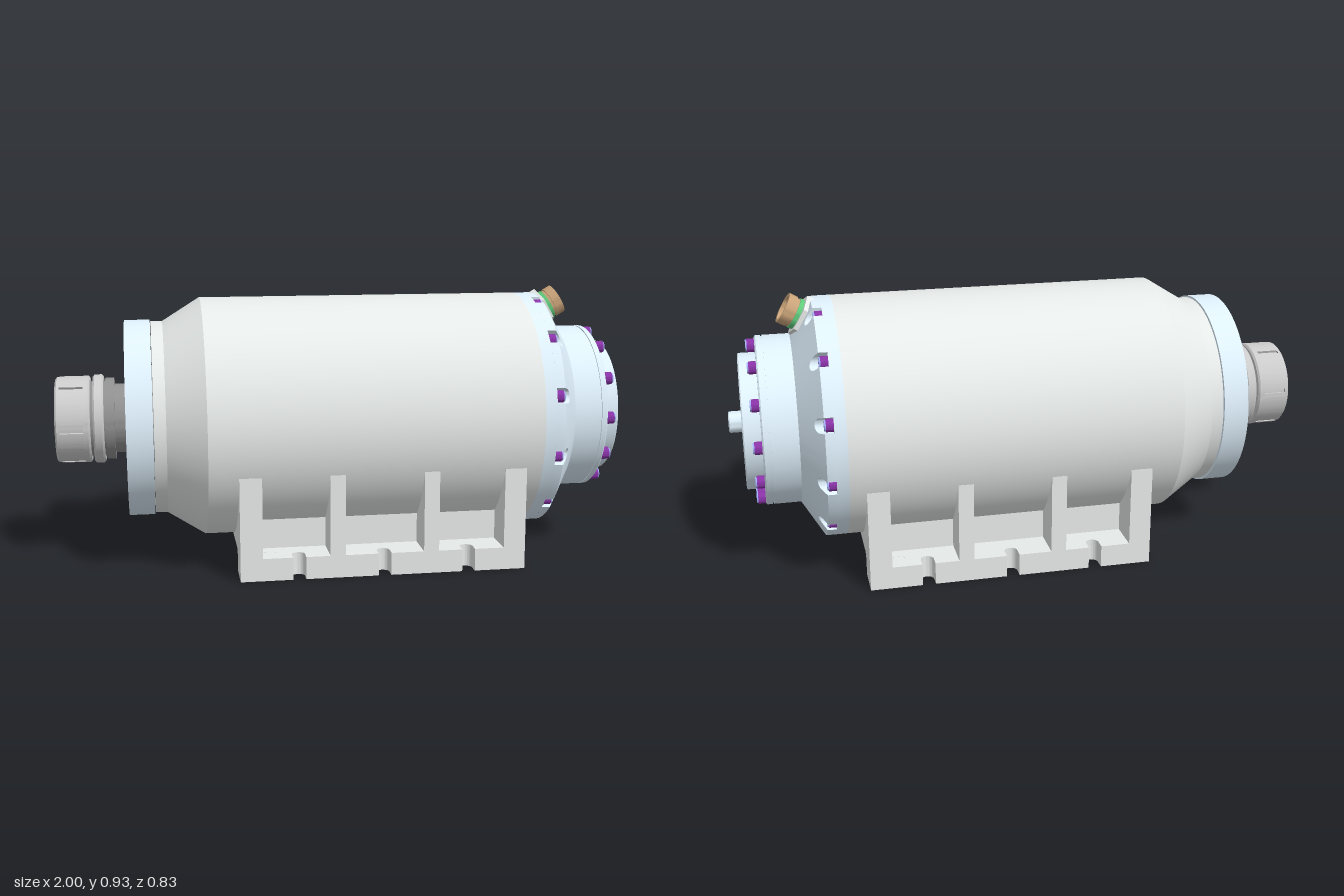
import * as THREE from 'three';
import { toCreasedNormals } from 'three/addons/utils/BufferGeometryUtils.js';

const mat = (color, side = THREE.FrontSide) => new THREE.MeshStandardMaterial({ color, side });
const GREY = mat(0xe6eae8), BLUE = mat(0xdff0fc), DARK = mat(0x909090), VIOLET = mat(0xa2aef5),
  PURPLE = mat(0x8a34a8), TAN = mat(0xcaa47a), GREEN = mat(0x60cc7c), SILVER = mat(0xfafafa);

function add(parent, name, geometry, material, x = 0, y = 0, z = 0) {
  const m = new THREE.Mesh(geometry, material);
  m.name = name;
  m.position.set(x, y, z);
  parent.add(m);
  return m;
}

// Solid of revolution about x, from [x, radius] pairs
function turned(points, sides = 96) {
  const g = new THREE.LatheGeometry(points.map(([x, r]) => new THREE.Vector2(r, x)), sides);
  return toCreasedNormals(g.rotateZ(-Math.PI / 2), 0.4);
}

// Shape in (-z, y) extruded along x from x0 to x1
function alongX(shape, x0, x1, curveSegments = 24) {
  const g = new THREE.ExtrudeGeometry(shape, { depth: x1 - x0, bevelEnabled: false, curveSegments });
  return toCreasedNormals(g.rotateY(Math.PI / 2).translate(x0, 0, 0), 0.4);
}

function disc(r, x = 0, y = 0, Type = THREE.Shape) {
  const s = new Type();
  s.absarc(x, y, r, 0, Math.PI * 2, Type === THREE.Path);
  return s;
}

// Socket screw geometry, head towards +x, seat at x = 0
const hexHole = new THREE.Path();
for (let i = 0; i < 6; i++) {
  const a = -i * Math.PI / 3 + Math.PI / 6;
  hexHole[i ? 'lineTo' : 'moveTo'](0.0105 * Math.cos(a), 0.0105 * Math.sin(a));
}
hexHole.closePath();
const headShape = disc(0.0185);
headShape.holes.push(hexHole);
const headGeo = alongX(headShape, 0.012, 0.03, 10);
const socketFloorGeo = new THREE.CircleGeometry(0.012, 12).rotateY(Math.PI / 2);
const collarGeo = turned([[0, 0], [0, 0.0215], [0.025, 0.0215], [0.025, 0.018]], 20);

function boltCircle(parent, name, count, radius, x, offset = 0, dir = 1) {
  const g = new THREE.Group();
  g.name = name;
  for (let i = 0; i < count; i++) {
    const a = offset + i * 2 * Math.PI / count;
    const bolt = new THREE.Group();
    bolt.name = 'bolt';
    bolt.position.set(x, radius * Math.cos(a), radius * Math.sin(a));
    if (dir < 0) bolt.rotation.y = Math.PI;
    add(bolt, 'boltHead', headGeo, VIOLET);
    add(bolt, 'socketFloor', socketFloorGeo, VIOLET, 0.016);
    add(bolt, 'boltCollar', collarGeo, PURPLE);
    g.add(bolt);
  }
  parent.add(g);
}

// Conical end cover with open bolt pockets around its rim
function pocketCone() {
  const x0 = 0.67, R = 0.416, rIn = 0.285, rb = 0.394, rp = 0.0245;
  const coneX = r => 0.70 + (R - r) * 0.61;
  const half = Math.asin(rp / rb), ring = [];
  for (let k = 0; k < 12; k++) {
    const c = Math.PI / 12 + k * Math.PI / 6;
    ring.push([c - half, R]);
    for (let j = 0; j <= 10; j++) {
      const d = half * Math.sin((j / 5 - 1) * Math.PI / 2);
      ring.push([c + d, rb * Math.cos(d) - Math.sqrt(Math.max(0, rp * rp - (rb * Math.sin(d)) ** 2))]);
    }
    for (let j = 0; j < 7; j++) ring.push([c + half + (Math.PI / 6 - 2 * half) * j / 7, R]);
  }
  const section = ([a, r]) => [[x0, r], [coneX(r), r], [coneX(rIn), rIn]]
    .map(([x, q]) => [x, q * Math.cos(a), q * Math.sin(a)]);
  const pos = [];
  ring.forEach((p, i) => {
    const A = section(p), B = section(ring[(i + 1) % ring.length]);
    for (let j = 0; j < 2; j++) pos.push(...A[j], ...B[j + 1], ...A[j + 1], ...A[j], ...B[j], ...B[j + 1]);
  });
  const g = new THREE.BufferGeometry();
  g.setAttribute('position', new THREE.Float32BufferAttribute(pos, 3));
  g.computeVertexNormals();
  return toCreasedNormals(g, 0.4);
}

// One foot on the +z side: slotted sole, ribs
function foot() {
  const g = new THREE.Group(), L = 0.4875;
  g.name = 'foot';
  const s = new THREE.Shape();
  s.moveTo(-L, -0.27);
  s.lineTo(-L, -0.392);
  for (const c of [-0.29, 0, 0.29]) {
    s.lineTo(c - 0.022, -0.392);
    s.lineTo(c - 0.022, -0.355);
    s.absarc(c, -0.355, 0.022, Math.PI, 0, true);
    s.lineTo(c + 0.022, -0.392);
  }
  s.lineTo(L, -0.392);
  s.lineTo(L, -0.27);
  s.closePath();
  const slot = new THREE.Path();
  slot.absarc(-0.425, -0.33, 0.014, Math.PI * 1.5, Math.PI / 2, true);
  slot.absarc(-0.375, -0.33, 0.014, Math.PI / 2, -Math.PI / 2, true);
  slot.closePath();
  s.holes.push(slot);
  const sole = new THREE.ExtrudeGeometry(s, { depth: 0.077, bevelEnabled: false });
  add(g, 'sole', toCreasedNormals(sole.rotateX(-Math.PI / 2), 0.4), GREY);
  add(g, 'slotFloor', new THREE.BoxGeometry(0.085, 0.036, 0.034), GREY, -0.4, 0.0585, 0.33);
  for (const [x, w] of [[-0.45, 0.075], [-0.16, 0.052], [0.16, 0.052], [0.45, 0.075]])
    add(g, 'rib', new THREE.BoxGeometry(w, 0.277, 0.142), GREY, x, 0.2145, 0.321);
  return g;
}

export function createModel() {
  const model = new THREE.Group();
  model.name = 'spindleMotor';
  const axis = new THREE.Group();
  axis.name = 'spindle';
  axis.position.y = 0.493;
  model.add(axis);

  // Housing and end covers
  add(axis, 'housing', turned([[-0.67, 0], [-0.67, 0.335], [-0.63, 0.335], [-0.5, 0.416], [0.63, 0.416], [0.63, 0]]), GREY);
  add(axis, 'coverRing', turned([[0.63, 0.3], [0.63, 0.416], [0.67, 0.416], [0.67, 0.28]]), BLUE);
  add(axis, 'coneCover', pocketCone(), BLUE);
  boltCircle(axis, 'coverBolts', 12, 0.394, 0.67, Math.PI / 12);
  add(axis, 'endCap', turned([[0.74, 0], [0.74, 0.292], [0.868, 0.292], [0.868, 0.288], [0.873, 0.288], [0.873, 0.292],
    [0.89, 0.292], [0.895, 0.287], [0.895, 0.235], [0.951, 0.235], [0.955, 0.231], [0.955, 0.18], [0.95, 0.173],
    [0.93, 0.173], [0.93, 0]]), BLUE);
  boltCircle(axis, 'endCapBolts', 12, 0.268, 0.895);
  boltCircle(axis, 'centreBolts', 4, 0.073, 0.907);
  add(axis, 'rearShaft', turned([[0.92, 0], [0.92, 0.037], [0.996, 0.037], [1, 0.033], [1, 0]], 32), BLUE);

  // Front flange with recessed screws
  const flange = disc(0.341);
  flange.holes.push(disc(0.17, 0, 0, THREE.Path));
  for (let i = 0; i < 8; i++)
    flange.holes.push(disc(0.025, 0.27 * Math.cos(i * Math.PI / 4), 0.27 * Math.sin(i * Math.PI / 4), THREE.Path));
  add(axis, 'flange', alongX(flange, -0.76, -0.672, 48), BLUE);
  boltCircle(axis, 'flangeBolts', 8, 0.27, -0.718, 0, -1);

  // Drive shaft, lock ring and splined nose
  add(axis, 'driveShaft', turned([[-0.9, 0], [-0.9, 0.13], [-0.83, 0.13], [-0.83, 0.142], [-0.8, 0.142], [-0.8, 0.12],
    [-0.745, 0.12], [-0.745, 0.155], [-0.67, 0.155]]), DARK);
  add(axis, 'lockRing', turned([[-0.873, 0.12], [-0.873, 0.148], [-0.867, 0.154], [-0.842, 0.154], [-0.836, 0.148], [-0.836, 0.12]]), SILVER);
  const nose = new THREE.Shape();
  for (let i = 0; i < 6; i++) {
    const a = i * Math.PI / 3 + 0.1, w = 0.05;
    nose.absarc(0, 0, 0.141, a - w, a + w, false);
    nose.absarc(0, 0, 0.15, a + w, a + Math.PI / 3 - w, false);
  }
  nose.closePath();
  nose.holes.push(disc(0.092, 0, 0, THREE.Path));
  add(axis, 'nose', alongX(nose, -0.985, -0.9), SILVER);
  add(axis, 'noseRim', turned([[-0.984, 0.092], [-1, 0.092], [-1, 0.141], [-0.994, 0.148], [-0.984, 0.148]]), SILVER);
  add(axis, 'noseCollar', turned([[-0.905, 0.09], [-0.905, 0.151], [-0.888, 0.151], [-0.882, 0.145], [-0.882, 0.1]]), SILVER);
  add(axis, 'noseBore', new THREE.CylinderGeometry(0.092, 0.092, 0.1, 48, 1, true).rotateZ(Math.PI / 2),
    mat(0xb0b0b0, THREE.DoubleSide), -0.95);
  const tooth = new THREE.BoxGeometry(0.095, 0.02, 0.011);
  for (let i = 0; i < 24; i++) {
    const a = i * Math.PI / 12;
    add(axis, 'splineTooth', tooth, GREY, -0.947, 0.083 * Math.cos(a), 0.083 * Math.sin(a)).rotation.x = a;
  }

  // Cable connector standing square on the cone
  const plug = new THREE.Group();
  plug.name = 'connector';
  plug.position.set(0.728, 0.85, 0);
  plug.rotation.z = Math.PI / 6;
  const nut = new THREE.CylinderGeometry(0.073, 0.073, 0.05, 6).rotateZ(-Math.PI / 2).rotateX(Math.PI / 2);
  add(plug, 'hexNut', toCreasedNormals(nut, 0.4), GREY, -0.006);
  add(plug, 'sealRing', turned([[0.015, 0.04], [0.015, 0.054], [0.034, 0.054], [0.034, 0.04]], 40), GREEN);
  add(plug, 'socket', turned([[0.032, 0.046], [0.032, 0.05], [0.044, 0.05], [0.044, 0.054], [0.074, 0.054], [0.074, 0.044],
    [0.06, 0.044], [0.06, 0.04], [0.0195, 0.04]], 40), TAN);
  add(plug, 'socketBottom', turned([[0.015, 0.04], [0.0205, 0.04], [0.0205, 0]], 32), DARK);
  model.add(plug);

  // Mounting base: channelled core and two mirrored feet
  const base = new THREE.Group();
  base.name = 'mountingBase';
  base.position.x = 0.0875;
  const core = new THREE.Shape();
  core.moveTo(-0.272, 0.19);
  core.lineTo(-0.272, 0.052);
  core.lineTo(-0.27, 0.052);
  core.absarc(-0.245, 0.052, 0.025, Math.PI, Math.PI / 2, true);
  core.absarc(0.245, 0.052, 0.025, Math.PI / 2, 0, true);
  core.lineTo(0.272, 0.052);
  core.lineTo(0.272, 0.19);
  core.closePath();
  add(base, 'baseCore', alongX(core, -0.4875, 0.4875), GREY);
  const left = foot(), right = foot();
  right.rotation.y = Math.PI;
  base.add(left, right);
  model.add(base);
  return model;
}
